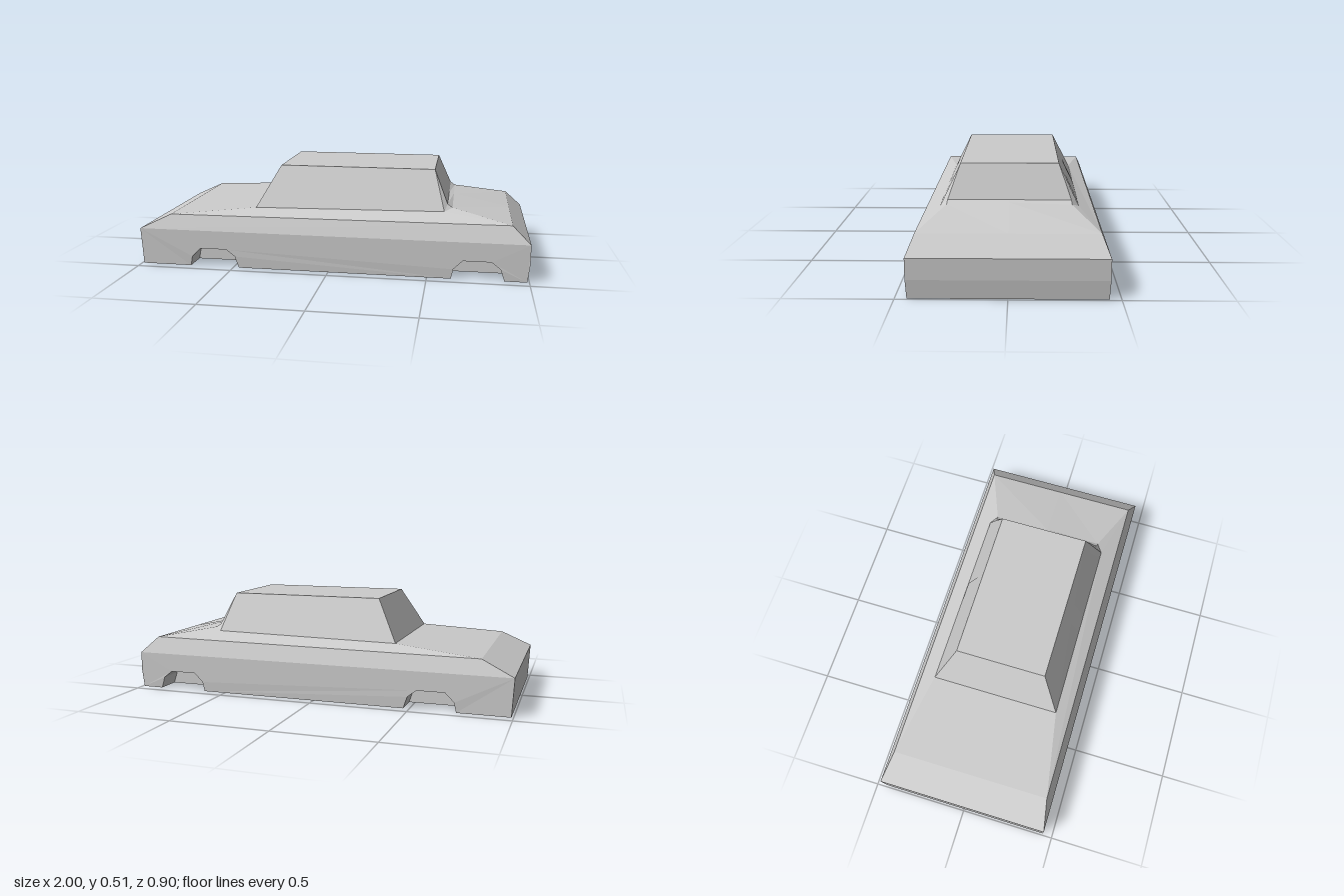
import * as THREE from 'three';

const material = new THREE.MeshStandardMaterial({ color: 0xcccccc, flatShading: true });

// Flat-shaded mesh from polygons of [x, y, z] corners, each also mirrored across z = 0.
function mirroredPanels(name, polygons) {
  const pos = [];
  for (const poly of polygons) {
    const mirror = poly.map(([x, y, z]) => [x, y, -z]).reverse();
    for (const p of [poly, mirror]) {
      for (let i = 1; i < p.length - 1; i++) pos.push(...p[0], ...p[i], ...p[i + 1]);
    }
  }
  const g = new THREE.BufferGeometry();
  g.setAttribute('position', new THREE.Float32BufferAttribute(pos, 3));
  g.computeVertexNormals();
  const mesh = new THREE.Mesh(g, material);
  mesh.name = name;
  return mesh;
}

// Side profile of the lower body extruded from z0 to z1, optionally with wheel arches.
function bodySlab(name, z0, z1, archCentres) {
  const arch = [[-0.13, 0], [-0.12, 0.05], [-0.075, 0.095], [0.065, 0.095], [0.11, 0.06], [0.13, 0]];
  const pts = [[-0.99, 0]];
  for (const c of archCentres) for (const [x, y] of arch) pts.push([c + x, y]);
  pts.push([0.99, 0], [1, 0.09], [1, 0.19], [-1, 0.19]);
  const shape = new THREE.Shape(pts.map(p => new THREE.Vector2(...p)));
  const g = new THREE.ExtrudeGeometry(shape, { depth: z1 - z0, bevelEnabled: false });
  g.translate(0, 0, z0);
  // slight tuck-in of the sill
  const p = g.attributes.position;
  for (let i = 0; i < p.count; i++) {
    if (p.getY(i) < 0.01 && Math.abs(p.getZ(i)) > 0.44) p.setZ(i, Math.sign(p.getZ(i)) * 0.446);
  }
  g.computeVertexNormals();
  const mesh = new THREE.Mesh(g, material);
  mesh.name = name;
  return mesh;
}

export function createModel() {
  const car = new THREE.Group();
  car.name = 'carBody';

  // Lower body: plain centre, arched flanks
  car.add(bodySlab('floorPan', -0.32, 0.32, []));
  car.add(bodySlab('leftFlank', 0.32, 0.45, [-0.6, 0.75]));
  car.add(bodySlab('rightFlank', -0.45, -0.32, [-0.6, 0.75]));

  // Key corners along the +z side, nose to tail
  const nose = [-1, 0.19, 0.45], hoodEdge = [-0.84, 0.265, 0.418], screenBase = [-0.4, 0.3, 0.34];
  const roofFront = [-0.285, 0.51, 0.238], roofRear = [0.52, 0.51, 0.238];
  const windowBase = [0.59, 0.345, 0.297], cowl = [0.615, 0.328, 0.3];
  const trunkEdge = [0.91, 0.275, 0.415], tail = [1, 0.19, 0.45];
  const sideRear = [0.575, 0.313, 0.333];

  // Panels running across the car; the trunk lid is slightly crowned
  const crown = p => [p[0], p === cowl ? 0.338 : p[1], 0];
  const chain = [nose, hoodEdge, screenBase, roofFront, roofRear, windowBase, cowl, trunkEdge, tail];
  const names = ['noseSlope', 'hood', 'windshield', 'roof', 'rearWindow', 'rearCowl', 'trunkLid', 'tailSlope'];
  names.forEach((name, i) => {
    const a = chain[i], b = chain[i + 1];
    car.add(mirroredPanels(name, [[a, b, crown(b), crown(a)]]));
  });

  // Sides of the upper body and cabin
  car.add(mirroredPanels('upperFlanks', [[nose, tail, trunkEdge, hoodEdge]]));
  car.add(mirroredPanels('shoulders', [
    [hoodEdge, trunkEdge, sideRear, screenBase],
    [sideRear, trunkEdge, cowl],
    [sideRear, cowl, windowBase],
  ]));
  car.add(mirroredPanels('cabinSides', [[screenBase, sideRear, roofRear, roofFront]]));
  car.add(mirroredPanels('rearPillarFaces', [[roofRear, sideRear, windowBase]]));

  // Window pillars lying just proud of the cabin sides
  const onSide = ([x, y]) => [x, y, 0.343 - (y - 0.3) * 0.486];
  const pillar = (name, corners) => car.add(mirroredPanels(name, [corners.map(onSide)]));
  pillar('middlePillars', [[0.07, 0.32], [0.17, 0.32], [0.17, 0.44], [0.07, 0.44]]);
  pillar('rearPillars', [[0.535, 0.325], [0.57, 0.325], [0.537, 0.445], [0.49, 0.445]]);

  return car;
}
